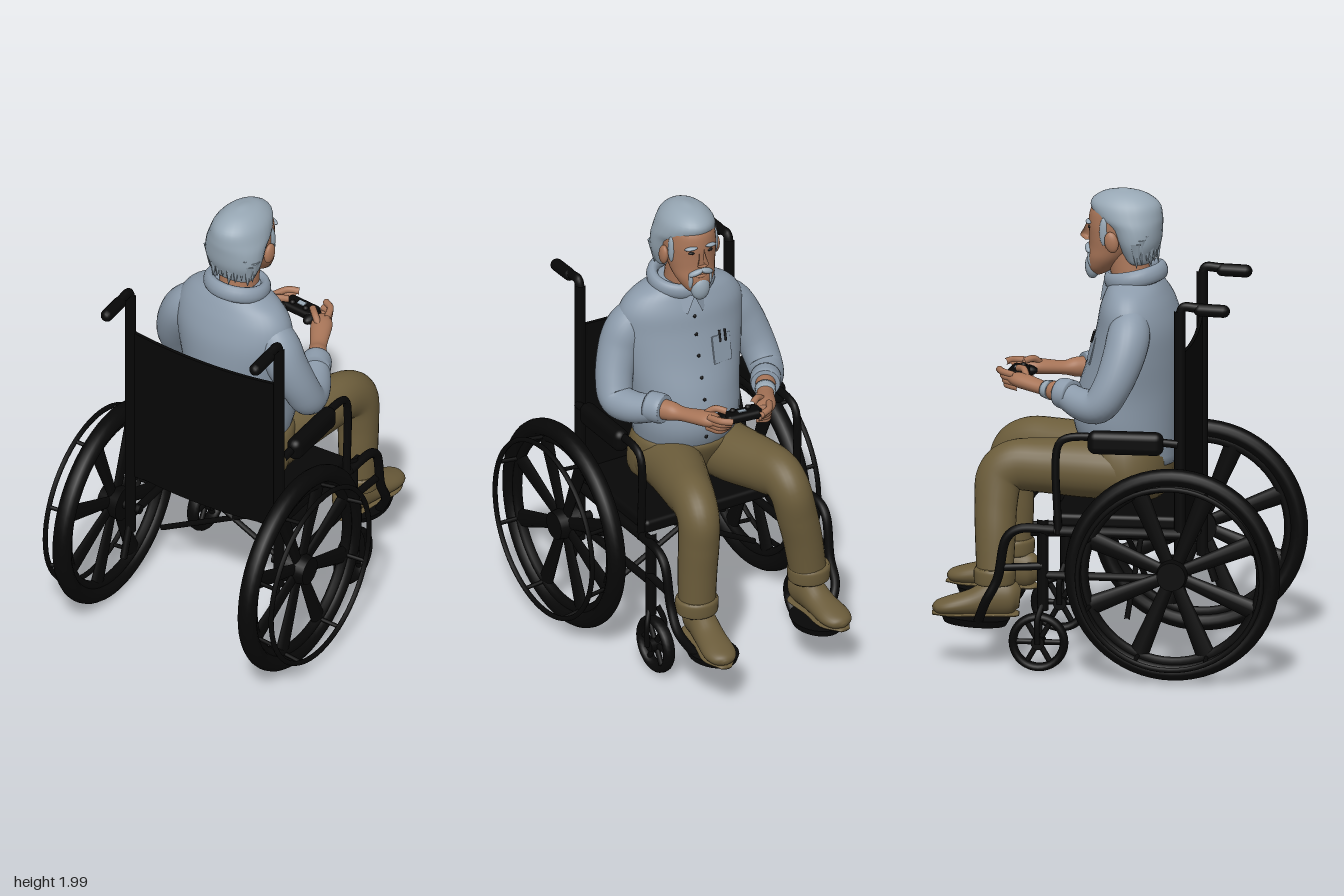
import * as THREE from 'three';
import { RoundedBoxGeometry } from 'three/addons/geometries/RoundedBoxGeometry.js';

const paint = (name, color, side = THREE.FrontSide) => {
  const m = new THREE.MeshStandardMaterial({ color, side });
  m.name = name;
  return m;
};
const V = (a) => new THREE.Vector3(...a);

// Smooth closed body through sections [x, y, z, halfWidth, halfDepth]; upright keeps rings level
function loft(sections, { rows = 40, cols = 28, upright = false } = {}) {
  const path = new THREE.CatmullRomCurve3(sections.map((s) => V(s.slice(0, 3))), false, 'catmullrom');
  const radii = new THREE.CatmullRomCurve3(sections.map((s) => V([s[3], s[4] ?? s[3], 0])), false, 'catmullrom');
  const pos = [], idx = [], X = V([1, 0, 0]);
  for (let i = 0; i <= rows; i++) {
    const t = i / rows, c = path.getPoint(t), r = radii.getPoint(t);
    const T = upright ? V([0, 1, 0]) : path.getTangent(t);
    const n = X.clone().cross(T).normalize(), b = T.clone().cross(n);
    for (let j = 0; j < cols; j++) {
      const a = (j / cols) * Math.PI * 2;
      const p = c.clone().addScaledVector(n, Math.cos(a) * r.y).addScaledVector(b, Math.sin(a) * r.x);
      pos.push(p.x, p.y, p.z);
    }
  }
  const at = (i, j) => i * cols + (j % cols);
  for (let i = 0; i < rows; i++) for (let j = 0; j < cols; j++) {
    idx.push(at(i, j), at(i, j + 1), at(i + 1, j), at(i + 1, j), at(i, j + 1), at(i + 1, j + 1));
  }
  const start = pos.length / 3;
  pos.push(...path.getPoint(0).toArray(), ...path.getPoint(1).toArray());
  for (let j = 0; j < cols; j++) {
    idx.push(start, at(0, j + 1), at(0, j), start + 1, at(rows, j), at(rows, j + 1));
  }
  const g = new THREE.BufferGeometry();
  g.setAttribute('position', new THREE.Float32BufferAttribute(pos, 3));
  g.setIndex(idx);
  g.computeVertexNormals();
  return g;
}

export function createModel() {
  const black = paint('chairBlack', 0x070707), shirt = paint('shirtBlue', 0x8c9bab, THREE.DoubleSide);
  const hair = paint('hairGrey', 0x97a7b4), skin = paint('skin', 0xa87558);
  const khaki = paint('trouserKhaki', 0x6c5d3b), shoe = paint('shoeTan', 0x6a5b3a);
  const dark = paint('darkDetail', 0x151414);
  const model = new THREE.Group(), chair = new THREE.Group(), man = new THREE.Group();
  chair.name = 'wheelchair';
  man.name = 'seatedMan';
  model.add(chair, man);
  chair.position.set(-0.005, 0, 0.278);
  chair.rotation.y = 0.12;

  const add = (parent, name, geo, mat, p = [0, 0, 0], rot = [0, 0, 0], scale = [1, 1, 1]) => {
    const m = new THREE.Mesh(geo, mat);
    m.name = name;
    m.position.set(...p);
    m.rotation.set(...rot);
    m.scale.set(...scale);
    parent.add(m);
    return m;
  };
  const bar = (parent, name, pts, r, mat = black) =>
    add(parent, name, new THREE.TubeGeometry(new THREE.CatmullRomCurve3(pts.map(V)), pts.length * 8, r, 10), mat);
  const ball = (parent, name, p, s, mat, rot) =>
    add(parent, name, new THREE.SphereGeometry(1, 20, 14), mat, p, rot, s);

  // ---- Wheelchair: upholstery ----
  const back = new THREE.BoxGeometry(0.74, 0.73, 0.015, 20, 8, 1), bp = back.attributes.position;
  for (let i = 0; i < bp.count; i++) {
    const k = 1 - (bp.getX(i) / 0.37) ** 2;
    bp.setZ(i, bp.getZ(i) + 0.015 * k);
    bp.setY(i, bp.getY(i) - 0.02 * k);
  }
  back.computeVertexNormals();
  add(chair, 'backrest', back, black, [0, 1.015, 0.02]);
  add(chair, 'seat', new RoundedBoxGeometry(0.74, 0.06, 0.54, 3, 0.02), black, [0, 0.655, -0.24]);

  // Crossed braces under the seat
  for (const s of [-1, 1]) bar(chair, 'crossBrace', [[-0.35 * s, 0.6, -0.2], [0.35 * s, 0.23, -0.2]], 0.012);

  for (const s of [-1, 1]) {
    // Side frame, push handle and armrest
    bar(chair, 'backPost', [[0.365 * s, 0.35, 0.025], [0.365 * s, 1.57, 0.025]], 0.024);
    bar(chair, 'pushHandle', [[0.365 * s, 1.55, 0.025], [0.365 * s, 1.585, 0.04], [0.365 * s, 1.585, 0.09], [0.365 * s, 1.57, 0.2]], 0.02);
    add(chair, 'handGrip', new THREE.CapsuleGeometry(0.027, 0.1, 4, 14), black, [0.365 * s, 1.575, 0.16], [1.6, 0, 0]);
    bar(chair, 'armrestFrame', [[0.38 * s, 1.0, 0.02], [0.38 * s, 1.015, -0.2], [0.38 * s, 1.012, -0.45], [0.38 * s, 0.98, -0.485], [0.38 * s, 0.6, -0.485]], 0.017);
    add(chair, 'armrestPad', new RoundedBoxGeometry(0.07, 0.1, 0.32, 4, 0.034), black, [0.385 * s, 1.0, -0.2]);
    bar(chair, 'upperRail', [[0.37 * s, 0.61, 0.03], [0.37 * s, 0.61, -0.6]], 0.024);
    bar(chair, 'lowerRail', [[0.37 * s, 0.42, 0.03], [0.37 * s, 0.42, -0.56]], 0.018);
    bar(chair, 'tippingBar', [[0.365 * s, 0.42, 0.02], [0.365 * s, 0.24, 0.08]], 0.016);
    bar(chair, 'frontPost', [[0.37 * s, 0.66, -0.55], [0.37 * s, 0.27, -0.55]], 0.024);

    // Footrest hanger and foot plate
    bar(chair, 'footrestHanger', [[0.385 * s, 0.62, -0.5], [0.395 * s, 0.62, -0.65], [0.395 * s, 0.58, -0.7], [0.39 * s, 0.4, -0.74], [0.385 * s, 0.3, -0.79], [0.33 * s, 0.2, -0.83]], 0.02);
    bar(chair, 'hangerBrace', [[0.38 * s, 0.46, -0.55], [0.385 * s, 0.45, -0.73]], 0.016);
    add(chair, 'footPlate', new THREE.CylinderGeometry(1, 0.9, 0.03, 32), black, [0.255 * s, 0.193, -0.85], [0.06, 0, 0], [0.1, 1, 0.145]);

    // Large rear wheel with push rim
    const wheel = new THREE.Group();
    wheel.name = 'rearWheel';
    wheel.position.set(0.455 * s, 0.458, 0.006);
    wheel.rotation.y = s * Math.PI / 2;
    chair.add(wheel);
    add(wheel, 'tyre', new THREE.TorusGeometry(0.417, 0.037, 14, 64), black, [0, 0, 0], [0, 0, 0], [1, 1, 1.12]);
    add(wheel, 'wheelRim', new THREE.TorusGeometry(0.375, 0.022, 8, 64), black);
    add(wheel, 'hub', new THREE.CylinderGeometry(0.06, 0.075, 0.1, 24), black, [0, 0, 0], [Math.PI / 2, 0, 0]);
    add(wheel, 'axle', new THREE.CylinderGeometry(0.02, 0.02, 0.14, 12), black, [0, 0, -0.06], [Math.PI / 2, 0, 0]);
    add(wheel, 'pushRim', new THREE.TorusGeometry(0.388, 0.011, 8, 64), black, [0, 0, 0.1]);
    for (let i = 0; i < 8; i++) {
      const a = (i / 8 + 1 / 16) * Math.PI * 2, c = Math.cos(a), d = Math.sin(a);
      add(wheel, 'spoke', new THREE.CylinderGeometry(0.042, 0.026, 0.34, 8), black, [c * 0.21, d * 0.21, 0], [0, 0, a - Math.PI / 2], [1, 1, 0.5]);
      bar(wheel, 'rimStrut', [[c * 0.375, d * 0.375, 0], [c * 0.388, d * 0.388, 0.1]], 0.009);
    }

    // Front caster
    const caster = new THREE.Group();
    caster.name = 'caster';
    caster.position.set(0.36 * s, 0.13, -0.57);
    caster.rotation.y = Math.PI / 2;
    chair.add(caster);
    add(caster, 'casterTyre', new THREE.TorusGeometry(0.108, 0.018, 10, 36), black, [0, 0, 0], [0, 0, 0], [1, 1, 1.5]);
    add(caster, 'casterHub', new THREE.CylinderGeometry(0.028, 0.028, 0.07, 16), black, [0, 0, 0], [Math.PI / 2, 0, 0]);
    for (let i = 0; i < 6; i++) {
      const a = (i / 6) * Math.PI * 2;
      bar(caster, 'casterSpoke', [[0, 0, 0], [Math.cos(a) * 0.1, Math.sin(a) * 0.1, 0]], 0.012);
    }
    for (const q of [-1, 1]) bar(caster, 'casterFork', [[0, 0, 0.042 * q], [0, 0.1, 0.042 * q], [-0.02, 0.17, 0.02 * q]], 0.012);
  }

  // ---- Man: shirt ----
  add(man, 'shirtBody', loft([
    [-0.015, 0.84, 0.06, 0.2, 0.18], [-0.015, 1.0, 0.03, 0.23, 0.22], [-0.015, 1.15, 0.045, 0.24, 0.215],
    [-0.015, 1.3, 0.072, 0.265, 0.192], [-0.015, 1.42, 0.085, 0.28, 0.172], [-0.015, 1.51, 0.08, 0.272, 0.15],
    [-0.015, 1.575, 0.075, 0.225, 0.122], [-0.015, 1.615, 0.07, 0.15, 0.1], [-0.015, 1.64, 0.07, 0.1, 0.085]], { upright: true, cols: 40 }), shirt);
  add(man, 'collar', new THREE.TorusGeometry(0.122, 0.025, 12, 36), shirt, [-0.015, 1.63, 0.07], [Math.PI / 2 - 0.22, 0, 0], [1, 0.92, 1.5]);
  const flap = new THREE.Shape([[0, 0], [0.1, 0.035], [0.085, -0.03], [0.04, -0.075]].map((p) => new THREE.Vector2(...p)));
  for (const s of [-1, 1]) add(man, 'collarFlap', new THREE.ShapeGeometry(flap), shirt, [-0.015, 1.595, -0.07], [0.35, s * -0.55, 0], [s, 1, 1]);
  [[1.5, -0.073], [1.42, -0.088], [1.33, -0.112], [1.24, -0.143], [1.15, -0.172], [1.06, -0.188], [0.98, -0.188]]
    .forEach(([y, z]) => ball(man, 'button', [-0.015, y, z], [0.008, 0.008, 0.004], dark));
  add(man, 'chestPocket', new RoundedBoxGeometry(0.1, 0.12, 0.008, 2, 0.003), shirt, [-0.13, 1.33, -0.09], [0.25, 0.33, 0]);
  for (const x of [-0.15, -0.125]) bar(man, 'pocketPen', [[x, 1.36, -0.089], [x, 1.41, -0.075]], 0.005, dark);

  // Sleeves, forearms and hands, listed for each side
  const arms = [
    { side: 1, sleeve: [[0.13, 1.5, 0.08, 0.04], [0.18, 1.475, 0.085, 0.075], [0.225, 1.42, 0.09, 0.09], [0.262, 1.34, 0.085, 0.088], [0.3, 1.23, 0.05, 0.08], [0.31, 1.145, 0, 0.075], [0.272, 1.14, -0.09, 0.068], [0.2, 1.17, -0.19, 0.055]],
      wrist: [0.135, 1.175, -0.285], palm: [0.072, 1.19, -0.385] },
    { side: -1, sleeve: [[-0.16, 1.5, 0.09, 0.04], [-0.21, 1.475, 0.095, 0.075], [-0.262, 1.42, 0.1, 0.09], [-0.31, 1.34, 0.09, 0.088], [-0.355, 1.23, 0.055, 0.08], [-0.37, 1.145, 0, 0.075], [-0.345, 1.14, -0.08, 0.068], [-0.295, 1.17, -0.17, 0.055]],
      wrist: [-0.25, 1.175, -0.265], palm: [-0.198, 1.19, -0.375] }];
  for (const { side: s, sleeve, wrist: w, palm: p } of arms) {
    const end = sleeve[7];
    const mix = (k) => [0, 1, 2].map((i) => end[i] + (w[i] - end[i]) * k);
    add(man, 'sleeve', loft(sleeve), shirt);
    add(man, 'sleeveCuff', loft([[...mix(-0.45), 0.064], [...mix(0), 0.065], [...mix(0.2), 0.06]], { rows: 10 }), shirt);
    add(man, 'forearm', loft([[...end.slice(0, 3), 0.044], [...mix(0.5), 0.041], [...w, 0.036, 0.029], [...p, 0.046, 0.032], [p[0] - 0.025 * s, p[1] + 0.004, p[2] - 0.05, 0.03, 0.022]]), skin);
    for (let i = 0; i < 4; i++) {
      const z = p[2] - 0.03 + i * 0.006, h = p[1] + 0.022 - i * 0.018;
      bar(man, 'finger', [[p[0] + 0.005 * s, h, z], [p[0] - 0.025 * s, h + 0.006, z - 0.06], [p[0] - 0.068 * s, h + 0.004, z - 0.085 + i * 0.014]], 0.0145, skin);
    }
    bar(man, 'thumb', [[p[0], p[1] + 0.015, p[2] + 0.02], [p[0] - 0.035 * s, p[1] + 0.04, p[2]], [p[0] - 0.075 * s, p[1] + 0.035, p[2] - 0.035]], 0.0145, skin);
    if (s < 0) add(man, 'wristwatch', loft([[...mix(0.62), 0.045, 0.042], [...mix(0.95), 0.042, 0.037]], { rows: 4 }), hair);
  }

  // Game pad in the hands
  add(man, 'gamePad', new RoundedBoxGeometry(0.16, 0.04, 0.08, 4, 0.018), black, [-0.068, 1.195, -0.425], [0.1, 0, 0]);
  for (const s of [-1, 1]) {
    ball(man, 'gamePadGrip', [-0.068 + 0.07 * s, 1.187, -0.41], [0.028, 0.024, 0.052], black);
    ball(man, 'thumbStick', [-0.068 + 0.035 * s, 1.218, -0.41], [0.012, 0.01, 0.012], dark);
  }
  add(man, 'gamePadPanel', new THREE.BoxGeometry(0.035, 0.005, 0.022), hair, [-0.068, 1.216, -0.428], [0.1, 0, 0]);

  // ---- Trousers and shoes ----
  add(man, 'trouserSeat', loft([[-0.02, 0.69, 0.08, 0.15, 0.1], [-0.02, 0.73, 0.07, 0.23, 0.15], [-0.02, 0.82, 0.05, 0.25, 0.18], [-0.02, 0.91, 0.03, 0.235, 0.2], [-0.02, 0.95, 0.03, 0.2, 0.18]], { upright: true }), khaki);
  const legs = [
    { leg: [[0.09, 0.82, 0.17, 0.08, 0.07], [0.09, 0.815, 0.08, 0.13, 0.12], [0.1, 0.825, -0.12, 0.125, 0.125], [0.135, 0.84, -0.31, 0.108, 0.115], [0.155, 0.84, -0.43, 0.093, 0.108], [0.165, 0.79, -0.5, 0.087, 0.1], [0.168, 0.68, -0.51, 0.086, 0.09], [0.172, 0.55, -0.505, 0.083, 0.085], [0.175, 0.36, -0.505, 0.078, 0.075]],
      heel: [0.15, -0.4], turn: 0.05, k: 1 },
    { leg: [[-0.13, 0.82, 0.17, 0.08, 0.07], [-0.13, 0.815, 0.08, 0.13, 0.12], [-0.17, 0.825, -0.1, 0.125, 0.125], [-0.23, 0.84, -0.28, 0.108, 0.115], [-0.262, 0.84, -0.39, 0.093, 0.108], [-0.28, 0.79, -0.45, 0.087, 0.1], [-0.305, 0.68, -0.46, 0.086, 0.09], [-0.335, 0.55, -0.455, 0.083, 0.085], [-0.365, 0.36, -0.45, 0.078, 0.075]],
      heel: [-0.345, -0.355], turn: -0.19, k: 0.92 }];
  for (const { leg, heel, turn, k } of legs) {
    add(man, 'trouserLeg', loft(leg, { rows: 56 }), khaki);
    const [x, , z] = leg[8];
    add(man, 'trouserCuff', loft([[x, 0.355, z, 0.083, 0.08], [x, 0.365, z, 0.09, 0.086], [x, 0.41, z, 0.092, 0.088], [x, 0.425, z, 0.084, 0.08]], { upright: true, rows: 16 }), khaki);
    add(man, 'sock', new THREE.CylinderGeometry(0.045, 0.045, 0.08, 20), dark, [x, 0.37, z]);
    // Shoe runs forward from the heel
    const foot = new THREE.Group();
    foot.name = 'foot';
    foot.position.set(heel[0], 0, heel[1]);
    foot.rotation.y = -turn;
    foot.scale.z = k;
    man.add(foot);
    add(foot, 'shoe', loft([[0, 0.29, 0.01, 0.025, 0.04], [0, 0.295, -0.03, 0.056, 0.075], [0, 0.295, -0.11, 0.06, 0.08], [0, 0.272, -0.21, 0.065, 0.055], [0, 0.257, -0.31, 0.07, 0.04], [0, 0.25, -0.365, 0.05, 0.028], [0, 0.245, -0.388, 0.012, 0.01]]), shoe);
    add(foot, 'shoeSole', loft([[0, 0.225, 0.005, 0.03, 0.008], [0, 0.225, -0.03, 0.056, 0.01], [0, 0.225, -0.17, 0.058, 0.01], [0, 0.225, -0.3, 0.07, 0.01], [0, 0.225, -0.39, 0.025, 0.008]], { rows: 20 }), shoe);
  }

  // ---- Head ----
  const hx = -0.02;
  add(man, 'neck', new THREE.CylinderGeometry(0.078, 0.088, 0.2, 24), skin, [hx, 1.66, 0.045], [-0.15, 0, 0]);
  add(man, 'head', loft([
    [hx, 1.625, -0.09, 0.015, 0.015], [hx, 1.65, -0.08, 0.052, 0.05], [hx, 1.7, -0.05, 0.085, 0.085], [hx, 1.75, -0.02, 0.1, 0.108],
    [hx, 1.8, 0, 0.11, 0.128], [hx, 1.86, 0.01, 0.112, 0.14], [hx, 1.92, 0.015, 0.1, 0.13], [hx, 1.97, 0.02, 0.05, 0.07], [hx, 1.98, 0.02, 0.01, 0.01]], { upright: true }), skin);
  add(man, 'hair', loft([
    [hx, 1.685, 0.1, 0.06, 0.02], [hx, 1.695, 0.095, 0.1, 0.05], [hx, 1.73, 0.09, 0.118, 0.07], [hx, 1.78, 0.085, 0.134, 0.092], [hx, 1.84, 0.07, 0.135, 0.113],
    [hx, 1.885, 0.042, 0.127, 0.142], [hx, 1.94, 0.025, 0.106, 0.146], [hx, 1.98, 0.02, 0.065, 0.095], [hx, 1.998, 0.02, 0.012, 0.02]], { upright: true }), hair);
  // Ragged locks around the nape
  for (let i = 0; i < 11; i++) {
    const a = (i / 10 - 0.5) * 2.7, y = 1.735 + 0.015 * (i % 3);
    add(man, 'hairLock', new THREE.ConeGeometry(0.03, 0.11, 6), hair, [hx + Math.sin(a) * 0.115, y, 0.085 + Math.cos(a) * 0.07], [Math.PI - 0.15 * Math.cos(a), 0, 0]);
  }
  // Face
  add(man, 'nose', loft([[hx, 1.86, -0.125, 0.01], [hx, 1.82, -0.138, 0.014], [hx, 1.79, -0.146, 0.022], [hx, 1.772, -0.135, 0.02, 0.014]], { upright: true, rows: 16 }), skin);
  ball(man, 'goatee', [hx, 1.66, -0.115], [0.042, 0.056, 0.032], hair);
  ball(man, 'mouth', [hx, 1.722, -0.127], [0.025, 0.008, 0.008], skin);
  for (const s of [-1, 1]) {
    ball(man, 'ear', [hx + 0.118 * s, 1.79, -0.005], [0.018, 0.045, 0.03], skin, [-0.2, 0, 0]);
    ball(man, 'sideburn', [hx + 0.1 * s, 1.83, -0.042], [0.013, 0.06, 0.02], hair);
    ball(man, 'eye', [hx + 0.04 * s, 1.835, -0.118], [0.015, 0.007, 0.008], dark);
    ball(man, 'eyebrow', [hx + 0.045 * s, 1.858, -0.122], [0.028, 0.008, 0.012], hair, [0, s * -0.3, s * -0.12]);
    ball(man, 'moustache', [hx + 0.025 * s, 1.74, -0.125], [0.034, 0.013, 0.017], hair, [0, s * -0.3, s * -0.4]);
    ball(man, 'beardSide', [hx + 0.044 * s, 1.705, -0.108], [0.011, 0.042, 0.02], hair);
  }
  return model;
}
